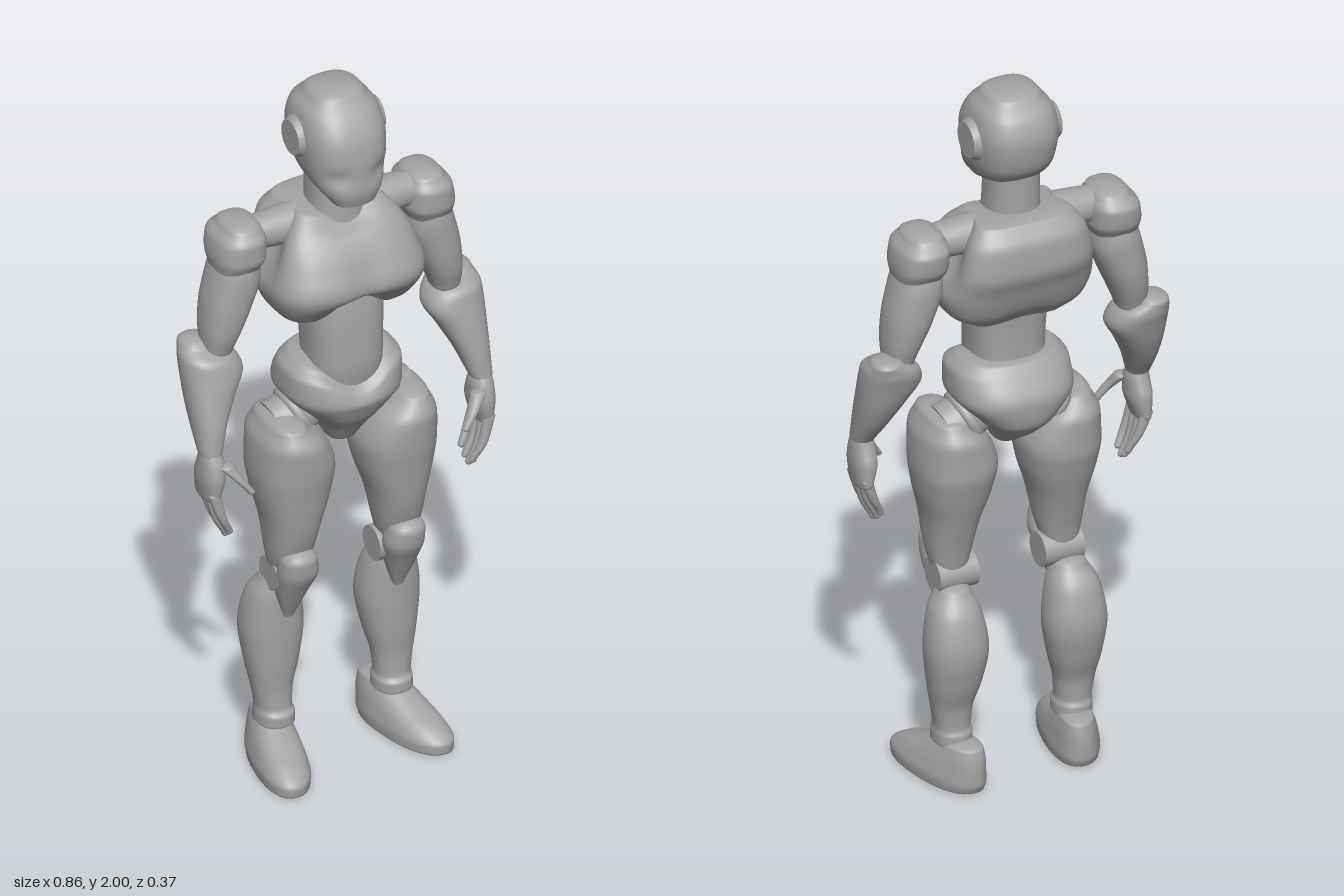
import * as THREE from 'three';

const grey = new THREE.MeshStandardMaterial({ color: 0xa3a3a3 });
grey.name = 'matte grey';

// Smooth monotone interpolation of section column c at position i + t
function blend(s, i, t, c) {
  const slope = (k) => {
    const a = k > 0 ? s[k][c] - s[k - 1][c] : null;
    const b = k < s.length - 1 ? s[k + 1][c] - s[k][c] : null;
    if (a === null) return b;
    if (b === null) return a;
    return a * b > 0 ? (2 * a * b) / (a + b) : 0;
  };
  const t2 = t * t, t3 = t2 * t;
  return (2 * t3 - 3 * t2 + 1) * s[i][c] + (t3 - 2 * t2 + t) * slope(i)
    + (3 * t2 - 2 * t3) * s[i + 1][c] + (t3 - t2) * slope(i + 1);
}

// Loft of rounded sections [y, xMin, xMax, zMin, zMax], upwards, with domed ends
function loft(sections, { n = 2.3, low = 0.01, high = 0.01, seg = 40, warp } = {}) {
  const rings = [], steps = 6, last = sections.length - 1;
  const cap = (s, height, a) => {
    const k = Math.cos(a), cx = (s[1] + s[2]) / 2, cz = (s[3] + s[4]) / 2;
    const rx = (s[2] - s[1]) / 2 * k, rz = (s[4] - s[3]) / 2 * k;
    rings.push([s[0] + height * Math.sin(a), cx - rx, cx + rx, cz - rz, cz + rz]);
  };
  for (let k = steps; k > 0; k--) cap(sections[0], -low, k / steps * Math.PI / 2);
  for (let i = 0; i < last; i++)
    for (let k = 0; k < steps; k++)
      rings.push([0, 1, 2, 3, 4].map((c) => blend(sections, i, k / steps, c)));
  for (let k = 0; k <= steps; k++) cap(sections[last], high, k / steps * Math.PI / 2);

  const pos = [], index = [], v = new THREE.Vector3();
  const round = (u) => Math.sign(u) * Math.pow(Math.abs(u), 2 / n);
  rings.forEach(([y, x0, x1, z0, z1], r) => {
    for (let j = 0; j < seg; j++) {
      const a = j / seg * Math.PI * 2;
      v.set((x0 + x1) / 2 + (x1 - x0) / 2 * round(Math.cos(a)), y,
        (z0 + z1) / 2 + (z1 - z0) / 2 * round(Math.sin(a)));
      if (warp) warp(v);
      pos.push(v.x, v.y, v.z);
      if (r === rings.length - 1) continue;
      const p = r * seg + j, q = r * seg + (j + 1) % seg;
      index.push(p, p + seg, q, q, p + seg, q + seg);
    }
  });
  const g = new THREE.BufferGeometry();
  g.setAttribute('position', new THREE.Float32BufferAttribute(pos, 3));
  g.setIndex(index);
  g.computeVertexNormals();
  return g;
}

// Cylinder lying along x, tilted about z
function axle(x, y, z, r0, r1, length, tilt = 0) {
  return new THREE.CylinderGeometry(r0, r1, length, 32)
    .rotateZ(-Math.PI / 2 + tilt).translate(x, y, z);
}

function mirrored(geometry) {
  const g = geometry.clone().scale(-1, 1, 1), a = g.index.array;
  for (let i = 0; i < a.length; i += 3) [a[i], a[i + 1]] = [a[i + 1], a[i]];
  return g;
}

const bell = (u, w) => Math.exp(-(u * u) / (w * w));
const ramp = (u, a, b) => THREE.MathUtils.smoothstep(u, a, b);

export function createModel() {
  const model = new THREE.Group();
  model.name = 'humanoid robot';
  const add = (name, geometry) => {
    const m = new THREE.Mesh(geometry, grey);
    m.name = name;
    model.add(m);
  };
  const pair = (name, geometry) => {
    add('left ' + name, geometry);
    add('right ' + name, mirrored(geometry));
  };

  // Head, with the chin dropping toward the front
  add('head', loft([
    [1.715, -0.062, 0.062, 0.01, 0.125], [1.76, -0.095, 0.095, -0.1, 0.135],
    [1.81, -0.108, 0.108, -0.135, 0.133], [1.88, -0.114, 0.114, -0.147, 0.122],
    [1.94, -0.102, 0.102, -0.13, 0.09], [1.975, -0.075, 0.075, -0.095, 0.055],
  ], {
    n: 2.7, low: 0.005, high: 0.025, seg: 56,
    warp: (v) => {
      if (v.z > 0) {
        v.y -= 0.1 * v.z * (1 - ramp(v.y, 1.73, 1.8));
        v.z -= 0.012 * bell(v.y - 1.79, 0.025) * bell(Math.abs(v.x) - 0.06, 0.035);
      }
    },
  }));
  pair('ear disc', axle(0.11, 1.865, -0.02, 0.048, 0.064, 0.032));
  add('neck', loft([
    [1.6, -0.085, 0.085, -0.11, 0.06], [1.66, -0.072, 0.072, -0.1, 0.055],
    [1.78, -0.07, 0.07, -0.1, 0.045]]));

  // Chest shell: arched hem, collar dip, split breastplate and arm openings
  add('chest', loft([
    [1.335, -0.135, 0.135, -0.1, 0.1], [1.38, -0.19, 0.19, -0.13, 0.125],
    [1.46, -0.215, 0.215, -0.16, 0.165], [1.53, -0.205, 0.205, -0.185, 0.14],
    [1.6, -0.185, 0.185, -0.18, 0.095], [1.65, -0.155, 0.155, -0.145, 0.045],
  ], {
    n: 3.2, low: 0.006, high: 0.01, seg: 72,
    warp: (v) => {
      const front = ramp(v.z, -0.08, 0.06), y = v.y;
      v.x *= 1 - 0.24 * bell(v.z + 0.035, 0.07) * ramp(y, 1.42, 1.56);
      if (v.z > 0) v.z -= 0.015 * bell(v.x, 0.035) * bell(y - 1.47, 0.06);
      v.y += (0.02 + 0.055 * front) * bell(v.x, 0.1) * (1 - ramp(y, 1.33, 1.46));
      v.y -= 0.025 * front * bell(v.x, 0.08) * ramp(y, 1.58, 1.65);
    },
  }));
  add('abdomen', loft([
    [1.14, -0.1, 0.1, -0.09, 0.11], [1.22, -0.1, 0.1, -0.08, 0.12],
    [1.33, -0.105, 0.105, -0.085, 0.115], [1.44, -0.11, 0.11, -0.1, 0.1]], { n: 2.6 }));

  // Pelvis with a dipped front waistband
  add('pelvis', loft([
    [0.96, -0.04, 0.04, -0.04, 0.055], [1.01, -0.07, 0.07, -0.11, 0.09],
    [1.06, -0.115, 0.115, -0.15, 0.125], [1.12, -0.162, 0.162, -0.157, 0.145],
    [1.18, -0.16, 0.16, -0.125, 0.135], [1.212, -0.135, 0.135, -0.1, 0.105],
  ], {
    n: 2.5, low: 0.012, high: 0.012, seg: 56,
    warp: (v) => {
      v.y -= 0.055 * ramp(v.z, 0, 0.09) * bell(v.x, 0.08) * ramp(v.y, 1.08, 1.2);
    },
  }));

  // Legs
  pair('hip joint', axle(0.12, 1.045, -0.005, 0.07, 0.06, 0.12, -0.45));
  pair('hip collar', new THREE.TorusGeometry(0.06, 0.016, 12, 32)
    .rotateY(Math.PI / 2).rotateZ(-0.45).translate(0.125, 1.043, -0.005));
  pair('thigh', loft([
    [0.61, 0.11, 0.205, -0.03, 0.06], [0.66, 0.097, 0.215, -0.04, 0.088],
    [0.75, 0.08, 0.225, -0.065, 0.115], [0.85, 0.05, 0.247, -0.095, 0.13],
    [0.92, 0.04, 0.255, -0.11, 0.14], [1.0, 0.07, 0.25, -0.11, 0.145],
    [1.05, 0.125, 0.228, -0.08, 0.12]], { n: 2.4, high: 0.022 }));
  pair('knee joint', axle(0.15, 0.585, 0.01, 0.048, 0.048, 0.112));
  pair('knee cap', loft([
    [0.465, 0.142, 0.176, 0.005, 0.045], [0.55, 0.115, 0.2, 0, 0.088],
    [0.615, 0.1, 0.207, 0.02, 0.12], [0.655, 0.108, 0.205, 0.035, 0.125]],
  { low: 0.012, high: 0.03 }));
  pair('shin', loft([
    [0.12, 0.12, 0.222, -0.085, 0.032], [0.145, 0.12, 0.222, -0.085, 0.032],
    [0.165, 0.125, 0.22, -0.078, 0.02], [0.22, 0.12, 0.228, -0.083, 0.018],
    [0.3, 0.1, 0.242, -0.108, 0.025], [0.4, 0.085, 0.252, -0.126, 0.03],
    [0.5, 0.1, 0.237, -0.105, 0.032], [0.55, 0.12, 0.21, -0.068, 0.03]], { high: 0.02 }));
  pair('foot', loft([
    [0.005, 0.112, 0.25, -0.135, 0.183], [0.03, 0.11, 0.252, -0.144, 0.185],
    [0.06, 0.115, 0.245, -0.144, 0.15], [0.09, 0.122, 0.235, -0.142, 0.08],
    [0.122, 0.132, 0.222, -0.135, 0.01],
  ], { low: 0.005, high: 0.013, warp: (v) => { v.x += 0.18 * v.z; } }));

  // Arms
  pair('shoulder joint', axle(0.175, 1.6, -0.035, 0.045, 0.055, 0.13));
  pair('shoulder pad', loft([
    [1.525, 0.215, 0.34, -0.11, 0.03], [1.56, 0.203, 0.344, -0.13, 0.045],
    [1.605, 0.203, 0.338, -0.135, 0.045], [1.635, 0.215, 0.315, -0.11, 0.025]],
  { n: 2.6, low: 0.02, high: 0.02 }));
  pair('upper arm', loft([
    [1.29, 0.29, 0.37, -0.09, 0.01], [1.34, 0.27, 0.372, -0.105, 0.025],
    [1.41, 0.24, 0.367, -0.117, 0.033], [1.49, 0.215, 0.35, -0.12, 0.035],
    [1.56, 0.22, 0.33, -0.105, 0.025]], { low: 0.03 }));
  pair('forearm', loft([
    [1.03, 0.362, 0.422, 0.005, 0.075], [1.1, 0.336, 0.426, -0.045, 0.066],
    [1.17, 0.3, 0.43, -0.082, 0.052], [1.23, 0.268, 0.432, -0.104, 0.038],
    [1.27, 0.285, 0.43, -0.116, 0.025], [1.298, 0.335, 0.42, -0.117, -0.025]],
  { high: 0.018 }));

  // Hands
  pair('palm', loft([
    [0.905, 0.375, 0.418, -0.015, 0.088], [0.96, 0.36, 0.424, -0.015, 0.095],
    [1.0, 0.36, 0.422, -0.002, 0.088], [1.04, 0.37, 0.417, 0.012, 0.07]], { low: 0.02 }));
  pair('thumb', loft([
    [0.925, 0.302, 0.322, 0.1, 0.124], [0.955, 0.322, 0.348, 0.088, 0.117],
    [0.995, 0.345, 0.385, 0.06, 0.1]], { low: 0.01, seg: 20 }));
  [[0.0, 0.03], [0.026, 0.01], [0.052, 0], [0.077, 0.015]].forEach(([z, lift], i) => {
    const tip = z * 0.75 + 0.014;
    pair('finger ' + (i + 1), loft([
      [0.78 + lift, 0.343, 0.364, tip - 0.009, tip + 0.009],
      [0.83 + lift, 0.366, 0.392, z - 0.009, z + 0.015],
      [0.915, 0.382, 0.415, z - 0.013, z + 0.013]], { low: 0.011, seg: 20 }));
  });
  return model;
}
